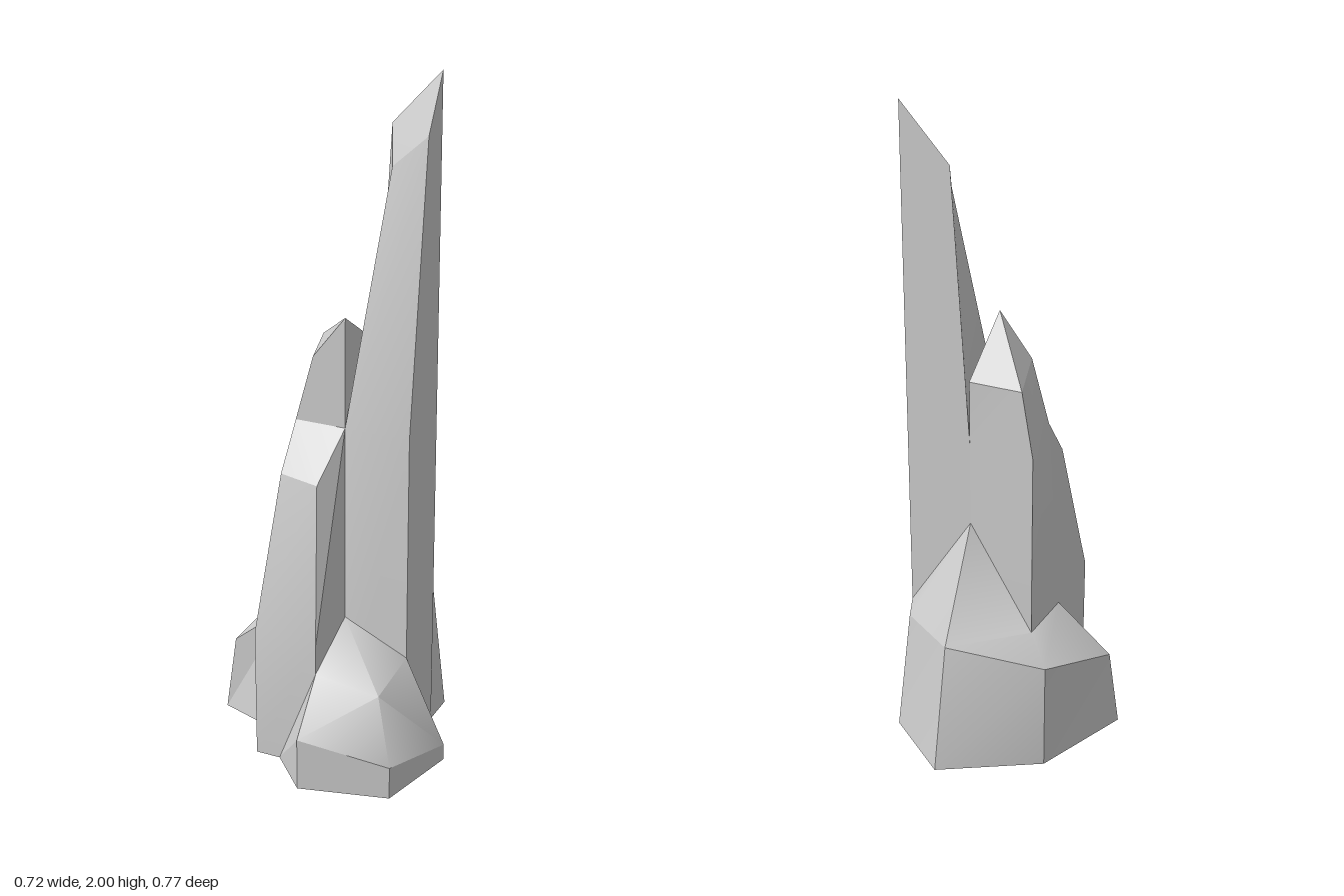
import * as THREE from 'three';
import { mergeGeometries, toCreasedNormals } from 'three/addons/utils/BufferGeometryUtils.js';

const V = (p) => new THREE.Vector3(...p);
const atHeight = (y, pts) => pts.map(([x, z]) => [x, y, z]);
const closed = (pts) => [...pts, pts[0]];

// Surface stitched between consecutive cross-sections (counter-clockwise seen from above).
function loft(sections, crease) {
  const pos = [];
  const tri = (a, b, c) => {
    const t = new THREE.Triangle(V(a), V(b), V(c));
    if (t.getArea() > 1e-7) pos.push(...a, ...b, ...c);
  };
  for (let s = 0; s < sections.length - 1; s++) {
    const lo = sections[s], hi = sections[s + 1];
    for (let i = 0; i < lo.length - 1; i++) {
      tri(lo[i], lo[i + 1], hi[i + 1]);
      tri(lo[i], hi[i + 1], hi[i]);
    }
  }
  const geo = new THREE.BufferGeometry();
  geo.setAttribute('position', new THREE.Float32BufferAttribute(pos, 3));
  return toCreasedNormals(geo, crease);
}

// Fan from an outline to one point.
const fan = (outline, tip, crease) => loft([outline, outline.map(() => tip)], crease);

// Column with a four-cornered cut tip; corners run back right, back left, front left, front right.
function crystal(rings) {
  const top = rings[rings.length - 1];
  return mergeGeometries([
    loft(rings.map(closed), 0.4),
    loft([[top[1], top[2]], [top[0], top[3]]], 0.8),
  ]);
}

export function createModel() {
  const group = new THREE.Group();
  const material = new THREE.MeshStandardMaterial({ color: 0xcccccc });
  const add = (name, geometry) => {
    const mesh = new THREE.Mesh(geometry, material);
    mesh.name = name;
    group.add(mesh);
  };

  // Grid lines shared by the three columns
  const x0 = -0.155, x1 = 0.04, x2 = 0.237;
  const z0 = -0.132, z1 = 0.063, z2 = 0.26;
  const cell = (xa, xb, za, zb) => [[xb, za], [xa, za], [xa, zb], [xb, zb]];

  // Tall spire
  const spire = cell(x1, x2, z0, z1);
  add('tallSpire', crystal([
    atHeight(0, spire),
    atHeight(1, spire),
    [[x2, 2, z0], [0.09, 1.84, z0], [0.125, 1.74, -0.055], [x2, 1.84, -0.04]],
  ]));

  // Middle crystal, behind and to the side of the spire
  const middle = cell(x0, x1, z0, z1);
  add('middleCrystal', crystal([
    atHeight(0, middle),
    atHeight(0.4, middle),
    [[x1, 1, z0], [x0, 1, z0], [-0.115, 1, z1], [x1, 1, z1]],
    [[x1, 1.2, z0], [-0.115, 1.2, -0.12], [-0.06, 1.2, z1], [x1, 1.33, z1]],
  ]));

  // Front crystal
  const front = cell(x0, x1, z1, z2);
  add('frontCrystal', crystal([
    atHeight(0, front),
    atHeight(0.4, front),
    [[x1, 1, z1], [-0.115, 1, z1], [-0.12, 0.865, 0.15], [0, 0.855, 0.165]],
  ]));

  // Front boulder: steep rim and a rounded top
  const frontFoot = [[-0.08, z2], [x1, 0.385], [0.3, 0.32], [0.36, z1], [x2, -0.06]];
  const frontRim = [
    [x1, 0.31, z2], [x1, 0.16, 0.385], [0.3, 0.1, 0.32], [0.36, 0.05, z1], [x2, 0.31, z1],
  ];
  add('frontBoulder', mergeGeometries([
    loft([atHeight(0, frontFoot), frontRim], 0.3),
    fan(closed([...frontRim, [x1, 0.4, z1]]), [x2, 0.285, z2], 1.0),
  ]));

  // Back boulder: side walls and a slope rising to a peak against the columns
  const backFoot = [
    [x2, z0], [x2, -0.24], [x1, -0.385], [-0.24, -0.22], [-0.36, z1], [-0.205, 0.115], [x0, z2],
  ];
  const shoulder = [x0, 0.38, z1], peak = [x1, 0.73, z0];
  const backRim = [
    [x2, 0.4, z0], [0.205, 0.4, -0.21], [x1, 0.4, -0.305],
    [-0.24, 0.355, -0.22], [-0.325, 0.24, z1], shoulder,
  ];
  add('backBoulder', mergeGeometries([
    loft([atHeight(0, backFoot), [...backRim, shoulder]], 0.3),
    loft([backRim, [backRim[0], peak, peak, [x0, 0.4, z0], shoulder, shoulder]], 0.9),
  ]));

  // Flat underside
  const outline = atHeight(0, [...backFoot, ...frontFoot]);
  add('underside', fan(closed(outline).reverse(), [0, 0, 0], 0.1));

  return group;
}
